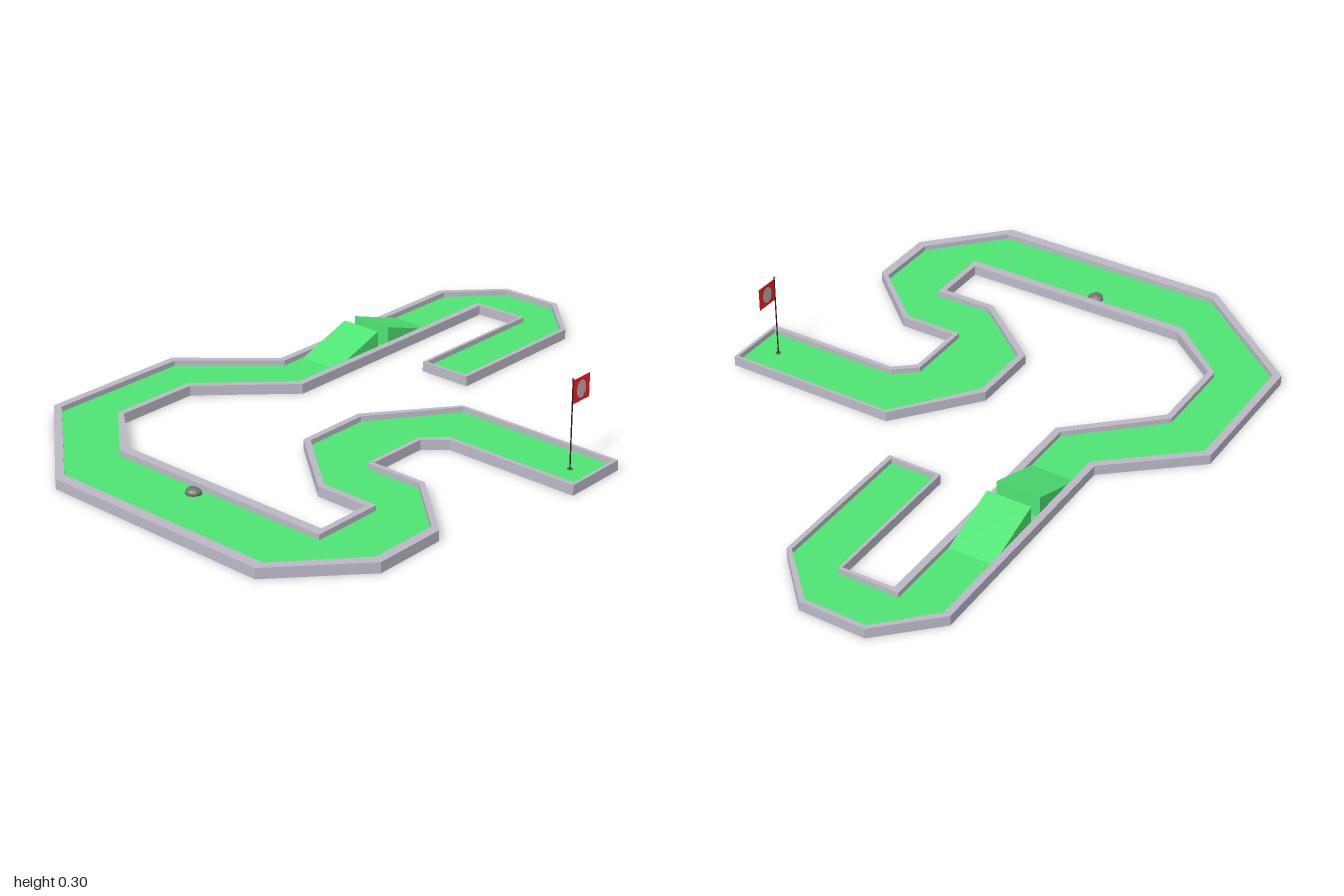
import * as THREE from 'three';

const GREEN = 0x4fe474, STONE = 0xbcb9c6, DARK = 0x2a2222, RED = 0xff1c1c, ROCK = 0x74746c;
const FLOOR = 0.016, RIM = 0.033;

// Plan outlines as [x, z]: the rim's outside edge and the edge of the turf
const outer = [
  [-0.13, -0.32], [0.05, -0.32], [0.05, -0.835], [-0.11, -1], [-0.325, -1], [-0.49, -0.835],
  [-0.49, -0.045], [-0.755, 0.185], [-0.755, 0.675], [-0.368, 1], [0.42, 1], [0.645, 0.76],
  [0.645, 0.525], [0.43, 0.33], [0.24, 0.33], [0.24, 0.125], [0.305, 0.07], [0.755, 0.07],
  [0.755, -0.145], [0.18, -0.145], [-0.02, 0.11], [-0.02, 0.35], [0.22, 0.545], [0.4, 0.545],
  [0.4, 0.725], [-0.365, 0.725], [-0.55, 0.575], [-0.55, 0.3], [-0.297, 0.06], [-0.297, -0.815], [-0.13, -0.82],
];
const inner = [
  [-0.12, -0.33], [0.035, -0.33], [0.035, -0.83], [-0.12, -0.985], [-0.32, -0.985], [-0.467, -0.83],
  [-0.467, -0.035], [-0.73, 0.195], [-0.73, 0.665], [-0.37, 0.965], [0.415, 0.965], [0.615, 0.745],
  [0.615, 0.52], [0.42, 0.345], [0.225, 0.345], [0.225, 0.115], [0.295, 0.055], [0.745, 0.055],
  [0.745, -0.135], [0.187, -0.135], [0, 0.12], [0, 0.34], [0.225, 0.525], [0.42, 0.525],
  [0.42, 0.755], [-0.37, 0.755], [-0.57, 0.58], [-0.57, 0.29], [-0.32, 0.05], [-0.32, -0.83], [-0.12, -0.83],
];

const toPoints = (list) => list.map(([x, z]) => new THREE.Vector2(x, z));

function part(parent, name, geometry, color, extra = {}) {
  const mesh = new THREE.Mesh(geometry, new THREE.MeshStandardMaterial({ color, ...extra }));
  mesh.name = name;
  parent.add(mesh);
  return mesh;
}

// Slab standing on y = 0 with a plan given in x and z
function slab(shape, height) {
  const g = new THREE.ExtrudeGeometry(shape, { depth: height, bevelEnabled: false });
  return g.rotateX(Math.PI / 2).translate(0, height, 0);
}

// Solid wedge across the lane, rising from zLow to a sheer face at zHigh
function wedge(zLow, zHigh) {
  const profile = new THREE.Shape(toPoints([[-zLow, FLOOR - 0.004], [-zHigh, FLOOR - 0.004], [-zHigh, 0.085], [-zLow, FLOOR]]));
  const g = new THREE.ExtrudeGeometry(profile, { depth: 0.145, bevelEnabled: false });
  return g.rotateY(Math.PI / 2).translate(-0.465, 0, 0);
}

export function createModel() {
  const model = new THREE.Group();
  model.name = 'miniGolfCourse';

  // Turf and the raised rim around it (hole wound opposite to the outline)
  part(model, 'turf', slab(new THREE.Shape(toPoints(inner)), FLOOR), GREEN);
  const rim = new THREE.Shape(toPoints(outer));
  rim.holes.push(new THREE.Path(toPoints(inner).reverse()));
  part(model, 'rim', slab(rim, RIM), STONE, { side: THREE.DoubleSide });

  // Jump: two facing wedges with a gap between
  part(model, 'backRamp', wedge(-0.575, -0.37), GREEN);
  part(model, 'frontRamp', wedge(-0.12, -0.32), GREEN);

  // Rock: low faceted boulder
  const rock = new THREE.IcosahedronGeometry(1, 1);
  const p = rock.attributes.position;
  for (let i = 0; i < p.count; i++) {
    const k = 1 + 0.1 * Math.sin(4 * p.getX(i) + 3 * p.getZ(i));
    p.setXYZ(i, p.getX(i) * k, p.getY(i), p.getZ(i) * k);
  }
  rock.scale(0.026, 0.015, 0.023).translate(-0.033, 0.021, 0.785);
  rock.computeVertexNormals();
  part(model, 'rock', rock, ROCK, { flatShading: true });

  // Hole and flag
  const flag = new THREE.Group();
  flag.name = 'holeFlag';
  flag.position.set(0.665, 0, -0.035);
  model.add(flag);
  part(flag, 'cup', new THREE.CylinderGeometry(0.009, 0.009, 0.001, 16), 0x6a5a50).position.y = FLOOR + 0.0005;
  part(flag, 'pole', new THREE.CylinderGeometry(0.002, 0.002, 0.28, 8), DARK).position.y = FLOOR + 0.14;
  part(flag, 'finial', new THREE.SphereGeometry(0.004, 8, 6), RED).position.y = 0.296;
  const cloth = part(flag, 'cloth', new THREE.PlaneGeometry(0.08, 0.075), RED, { side: THREE.DoubleSide });
  cloth.rotation.y = Math.PI / 2;
  cloth.position.set(0, 0.255, -0.04);

  // Pale oval on each side of the cloth
  for (const s of [1, -1]) {
    const disc = part(flag, 'flagDisc', new THREE.CircleGeometry(0.022, 20).scale(1, 1.25, 1), 0xbbb5b5);
    disc.rotation.y = s * Math.PI / 2;
    disc.position.set(s * 0.001, 0.255, -0.04);
  }

  return model;
}
